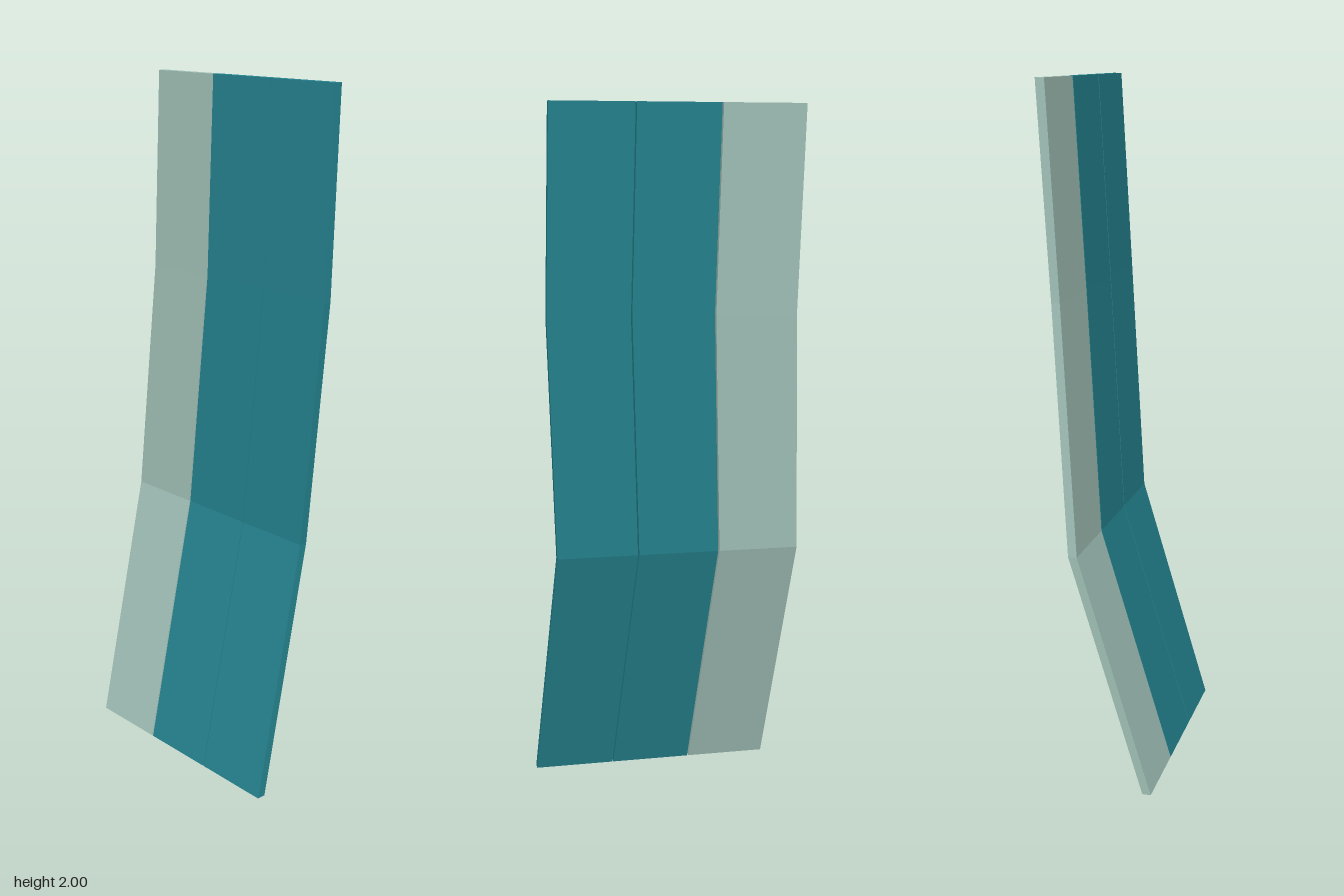
import * as THREE from 'three';

// Cross-sections up the panel: height, left-hand edge x, front z, back z
const SECTIONS = [
  { y: 0, x: -0.335, front: 0.152, back: 0.127 },
  { y: 0.72, x: -0.383, front: -0.048, back: -0.073 },
  { y: 1.42, x: -0.357, front: -0.096, back: -0.12 },
  { y: 2, x: -0.367, front: -0.127, back: -0.152 },
];
const WIDTH = 0.236;
const SPACING = 0.24;

// One folded slat, lofted through the cross-sections
function slatGeometry(offset) {
  const positions = [];
  const quad = (a, b, c, d) => {
    for (const p of [a, b, c, a, c, d]) positions.push(...p);
  };
  const rings = SECTIONS.map(({ y, x, front, back }) => {
    const x0 = x + offset, x1 = x0 + WIDTH;
    return [[x0, y, front], [x1, y, front], [x1, y, back], [x0, y, back]];
  });
  for (let i = 0; i < rings.length - 1; i++) {
    const low = rings[i], high = rings[i + 1];
    for (let k = 0; k < 4; k++) {
      const n = (k + 1) % 4;
      quad(low[k], low[n], high[n], high[k]);
    }
  }
  // End caps
  const [a, b, c, d] = rings[0];
  quad(d, c, b, a);
  quad(...rings[rings.length - 1]);

  const geometry = new THREE.BufferGeometry();
  geometry.setAttribute('position', new THREE.Float32BufferAttribute(positions, 3));
  geometry.computeVertexNormals();
  return geometry;
}

export function createModel() {
  const teal = new THREE.MeshStandardMaterial({ color: 0x258490 });
  teal.name = 'teal';
  const paleSage = new THREE.MeshStandardMaterial({ color: 0xa3c4ba });
  paleSage.name = 'paleSage';

  const group = new THREE.Group();
  group.name = 'foldedPanel';
  const slats = [['rightSlat', paleSage], ['middleSlat', teal], ['leftSlat', teal]];
  slats.forEach(([name, material], i) => {
    const slat = new THREE.Mesh(slatGeometry(i * SPACING), material);
    slat.name = name;
    group.add(slat);
  });
  return group;
}
